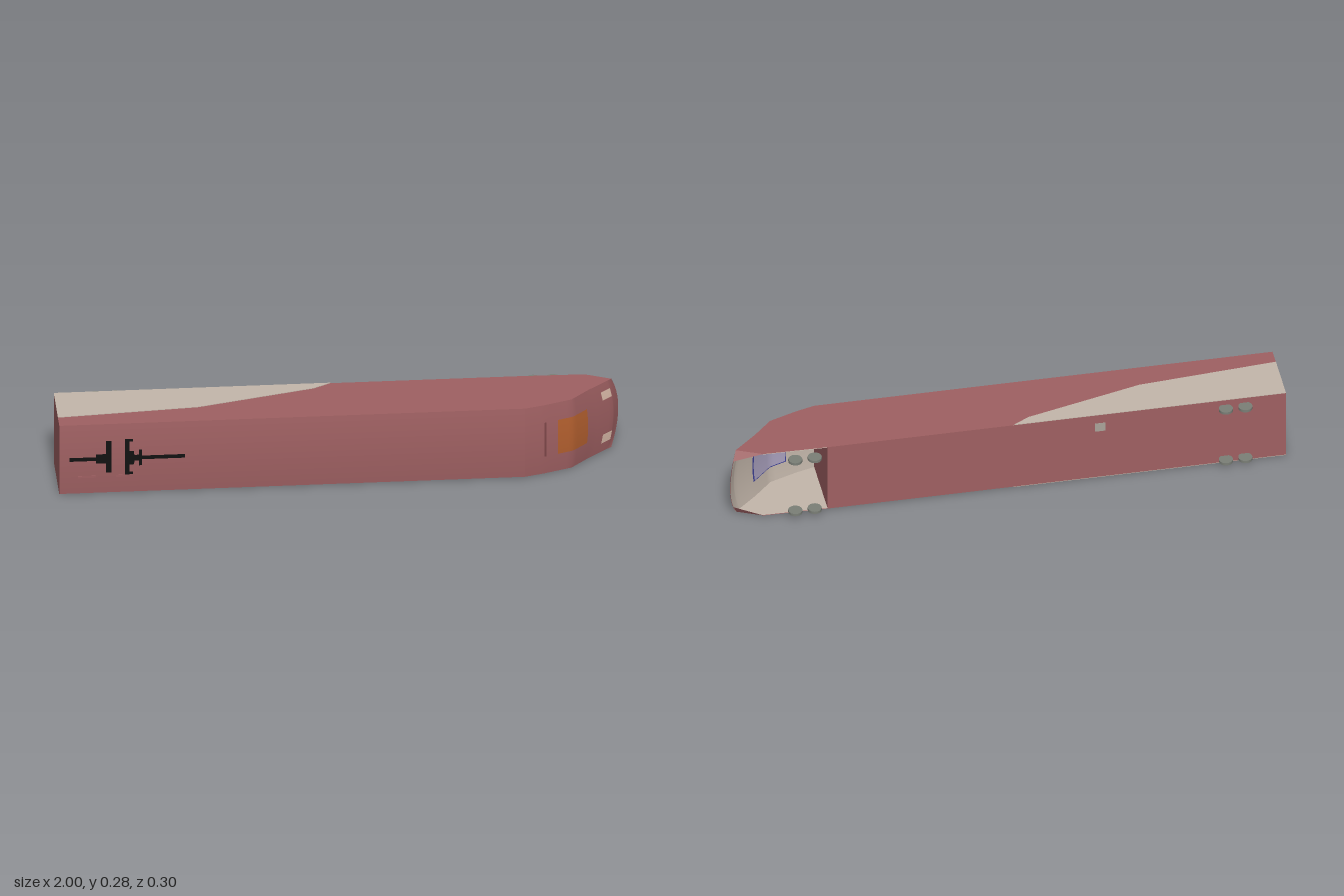
import * as THREE from 'three';

const Y0 = 0.003, Y1 = 0.275, YC = (Y0 + Y1) / 2, HALF = (Y1 - Y0) / 2;
const RED = 0x9f6062, BEIGE = 0xc3b6aa, ORANGE = 0xb4602f, GREY = 0x7b7f77;
const V = (x, y, z) => new THREE.Vector3(x, y, z);

// Nose profiles in (x, z): along the side edges and along the centre line
const EDGE = [[0.65, 0.142], [0.72, 0.122], [0.82, 0.085], [0.885, 0.018], [0.955, -0.045], [0.972, -0.06]];
const MID = [[0.65, 0.15], [0.72, 0.13], [0.825, 0.092], [0.905, 0.012], [0.978, -0.055], [1, -0.1]];

// 1 on the centre line, 0 at the side edges
const crown = y => 1 - ((y - YC) / HALF) ** 2;
const roofHeight = y => 0.142 + 0.007 * crown(y);

function nosePoint(u, y, offset) {
  const i = Math.min(Math.floor(u), EDGE.length - 2), f = u - i, k = crown(y);
  const at = (row, c) => THREE.MathUtils.lerp(EDGE[row][c], MID[row][c], k);
  const get = c => THREE.MathUtils.lerp(at(i, c), at(i + 1, c), f);
  return [get(0) + 0.65 * offset, y, get(1) + 0.75 * offset];
}

// A patch of the nose skin between two profile stations and two heights
function nosePatch(u0, u1, y0, y1, offset = 0, nu = 10, nv = 10) {
  const pos = [], idx = [];
  for (let i = 0; i <= nu; i++)
    for (let j = 0; j <= nv; j++)
      pos.push(...nosePoint(u0 + (u1 - u0) * i / nu, y0 + (y1 - y0) * j / nv, offset));
  for (let i = 0; i < nu; i++)
    for (let j = 0; j < nv; j++) {
      const a = i * (nv + 1) + j, b = a + nv + 1;
      idx.push(a, b, b + 1, a, b + 1, a + 1);
    }
  const g = new THREE.BufferGeometry();
  g.setAttribute('position', new THREE.Float32BufferAttribute(pos, 3));
  g.setIndex(idx);
  g.computeVertexNormals();
  return g;
}

const shapeOf = pts => new THREE.Shape(pts.map(p => new THREE.Vector2(...p)));
// Maps a drawing in (x, z) onto the model, with its depth running towards -y
const SIDE = new THREE.Matrix4().makeBasis(V(1, 0, 0), V(0, 0, 1), V(0, -1, 0));
// Maps a drawing in (y, z) onto the model, with its depth running along +x
const SECTION = new THREE.Matrix4().makeBasis(V(0, 1, 0), V(0, 0, 1), V(1, 0, 0));

export function createModel() {
  const model = new THREE.Group();
  const nose = new THREE.Group();
  nose.name = 'nose';
  const collector = new THREE.Group();
  collector.name = 'currentCollector';
  model.add(nose, collector);

  const add = (name, geo, color, parent = model, side = THREE.FrontSide) => {
    const mesh = new THREE.Mesh(geo, new THREE.MeshStandardMaterial({ color, side }));
    mesh.name = name;
    parent.add(mesh);
  };
  const addOpen = (name, geo, color) => add(name, geo, color, nose, THREE.DoubleSide);

  // Long carriage body with a gently crowned roof
  const section = [[Y0, -0.105], [Y1, -0.105]];
  for (let i = 0; i <= 12; i++) {
    const y = Y1 - (Y1 - Y0) * i / 12;
    section.push([y, roofHeight(y)]);
  }
  const body = new THREE.ExtrudeGeometry(shapeOf(section), { depth: 1.65, bevelEnabled: false });
  add('carriageBody', body.applyMatrix4(SECTION).translate(-1, 0, 0), RED);

  // Pale stripe rising towards the rear on both sides
  const stripe = shapeOf([[-1, -0.105], [-0.02, -0.105], [-0.08, -0.07], [-0.5, 0.04], [-1, 0.08]]);
  for (const top of [Y0, Y1 + 0.002]) {
    const g = new THREE.ExtrudeGeometry(stripe, { depth: 0.002, bevelEnabled: false });
    add('sideStripe', g.applyMatrix4(SIDE).translate(0, top, 0), BEIGE);
  }

  // Hollow nose: red outside, pale lining just inside, open underneath
  addOpen('noseSkin', nosePatch(0, 5, Y0, Y1, 0, 25, 16), RED);
  addOpen('noseLining', nosePatch(0, 5, Y0 + 0.002, Y1 - 0.002, -0.002, 25, 16), BEIGE);
  const cheek = shapeOf([...EDGE, [0.88, -0.101], [0.65, -0.105]]);
  for (const s of [-1, 1]) {
    const cheekAt = y => new THREE.ShapeGeometry(cheek).applyMatrix4(SIDE).translate(0, y, 0);
    addOpen('noseSide', cheekAt(YC + s * HALF), RED);
    addOpen('noseSideLining', cheekAt(YC + s * (HALF - 0.002)), BEIGE);

    // Slanted facet closing the lower front corner
    const edge = YC + s * HALF, rim = YC + s * 0.101;
    const corners = [V(...nosePoint(5, edge, 0)), V(...nosePoint(5, rim, 0)), V(0.88, edge, -0.101)];
    if (s < 0) corners.reverse();
    const facet = new THREE.BufferGeometry().setFromPoints(corners);
    facet.computeVertexNormals();
    addOpen('noseCorner', facet, RED);
  }

  // Windscreen, its inner panel and the slot above it
  add('windscreen', nosePatch(1.46, 2.7, 0.074, 0.209, 0.002), ORANGE, nose);
  addOpen('windscreenFrame', nosePatch(1.4, 2.95, 0.068, 0.215, -0.005), 0x3f4299);
  addOpen('windscreenInside', nosePatch(1.45, 2.9, 0.073, 0.21, -0.007), 0xa9a0bd);
  add('roofSlot', nosePatch(0.99, 1.06, 0.074, 0.209, 0.002), 0x7d4648, nose);

  // Headlights
  for (const y of [0.04, 0.21])
    add('headlight', nosePatch(3.52, 4.02, y, y + 0.034, 0.002), 0xdcbcaa, nose);

  // Wheels, two pairs near each end
  for (const x of [-0.85, -0.78, 0.7, 0.77])
    for (const y of [0.025, 0.25]) {
      const g = new THREE.CylinderGeometry(0.025, 0.025, 0.01, 24);
      add('wheel', g.translate(x, y, -0.125), GREY);
    }

  // Thin plates that follow the curve of the roof: [x0, x1, y0, y1]
  const roofPlate = (name, [x0, x1, y0, y1], color, parent) => {
    const g = new THREE.BoxGeometry(x1 - x0, y1 - y0, 0.002, 1, 6, 1);
    g.translate((x0 + x1) / 2, (y0 + y1) / 2, 0);
    const p = g.attributes.position;
    for (let i = 0; i < p.count; i++) p.setZ(i, p.getZ(i) + roofHeight(p.getY(i)));
    add(name, g, color, parent);
  };
  const bars = [
    [-0.965, -0.86, 0.134, 0.148], [-0.87, -0.83, 0.123, 0.159], [-0.835, -0.816, 0.085, 0.21],
    [-0.768, -0.752, 0.08, 0.21], [-0.768, -0.74, 0.075, 0.085], [-0.768, -0.74, 0.205, 0.215],
    [-0.755, -0.735, 0.115, 0.168], [-0.74, -0.715, 0.13, 0.152], [-0.718, -0.708, 0.11, 0.172],
    [-0.71, -0.555, 0.134, 0.148],
  ];
  for (const bar of bars) roofPlate('collectorBar', bar, 0x111111, collector);
  for (const [x0, x1] of [[-0.935, -0.87], [-0.8, -0.76]])
    roofPlate('roofVent', [x0, x1, 0.066, 0.074], RED, model);

  // Underfloor hatch
  const hatch = new THREE.BoxGeometry(0.038, 0.035, 0.002);
  add('floorHatch', hatch.translate(-0.331, 0.222, -0.105), 0xaaa39a);

  return model;
}
